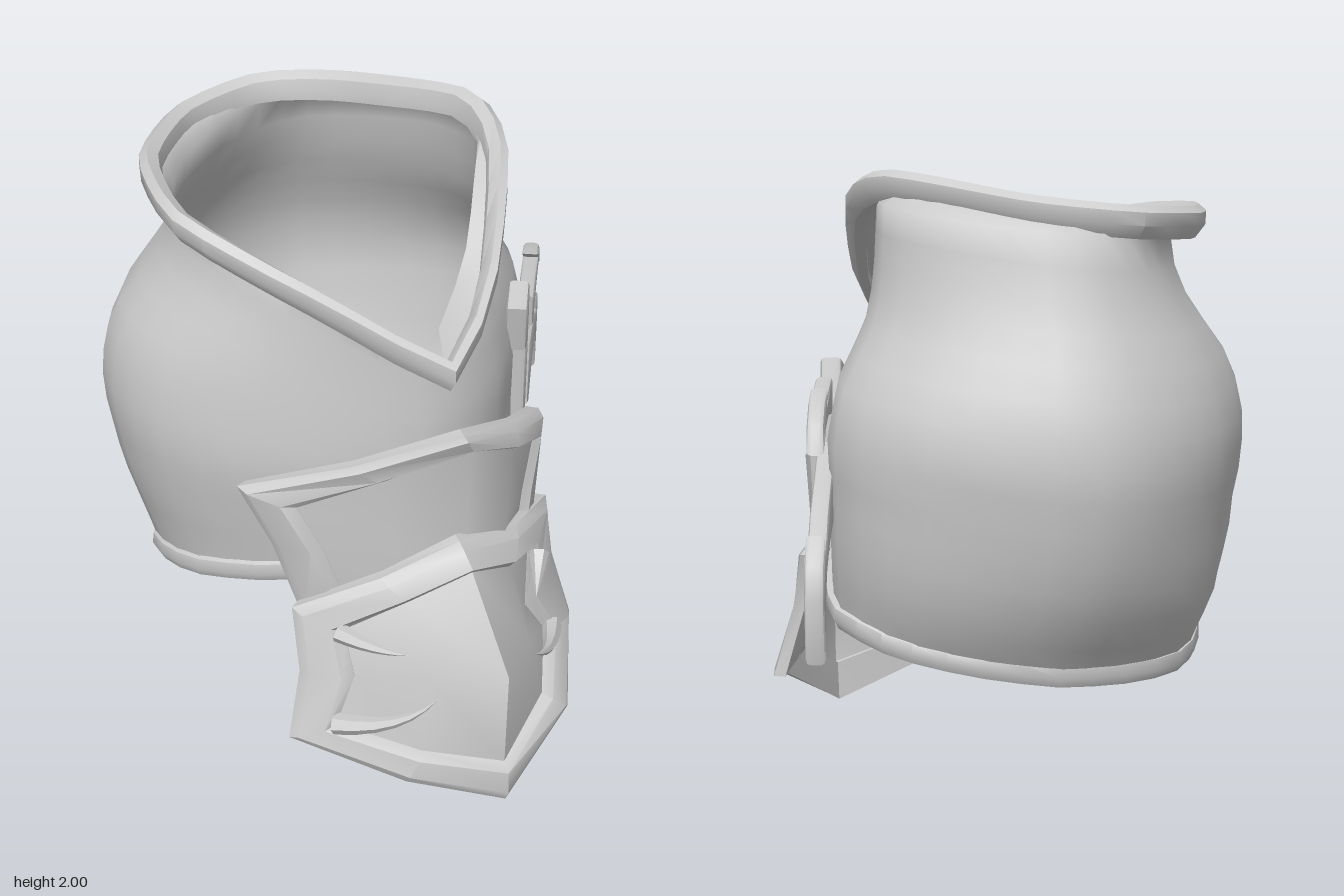
import * as THREE from 'three';
import { toCreasedNormals } from 'three/addons/utils/BufferGeometryUtils.js';

const material = new THREE.MeshStandardMaterial({ color: 0xcccccc, side: THREE.DoubleSide });
const V = (x, y, z) => new THREE.Vector3(x, y, z);
const CENTRE = V(-0.1, 0, -0.15);
const COLUMNS = 36;
const lerp = THREE.MathUtils.lerp;

function mesh(name, geometry, crease = 0.6) {
  const m = new THREE.Mesh(toCreasedNormals(geometry, crease), material);
  m.name = name;
  return m;
}

// Skin over rows of points; closed joins each row's end to its start, loop joins last row to first
function loft(rows, closed = true, loop = false) {
  const n = rows[0].length, index = [];
  const last = loop ? rows.length : rows.length - 1;
  for (let r = 0; r < last; r++) {
    for (let i = 0; i < (closed ? n : n - 1); i++) {
      const j = (i + 1) % n, s = (r + 1) % rows.length;
      const a = r * n + i, b = r * n + j, c = s * n + j, d = s * n + i;
      index.push(a, b, c, a, c, d);
    }
  }
  const g = new THREE.BufferGeometry().setFromPoints(rows.flat());
  g.setIndex(index);
  return g.toNonIndexed();
}

// Resample a closed outline at even angles around the body axis, starting at the front point
function polar(points) {
  const curve = new THREE.CatmullRomCurve3(points.map(p => V(...p)), true, 'catmullrom', 0.35);
  const dense = curve.getPoints(720);
  const start = Math.atan2(0.83, 0.2);
  const out = [];
  for (let i = 0; i < COLUMNS; i++) {
    const a = start + i / COLUMNS * Math.PI * 2;
    const dir = V(Math.cos(a), 0, Math.sin(a));
    let best = dense[0], score = -2;
    for (const p of dense) {
      const q = p.clone().sub(CENTRE).setY(0).normalize().dot(dir);
      if (q > score) { score = q; best = p; }
    }
    out.push(best.clone());
  }
  return out;
}

// Widest cross-section of the body
const girth = polar([
  [0.12, 0, 0.52], [-0.2, 0, 0.52], [-0.5, 0, 0.42], [-0.74, 0, 0.22], [-0.84, 0, -0.08],
  [-0.73, 0, -0.42], [-0.5, 0, -0.72], [-0.26, 0, -0.87], [-0.02, 0, -0.91], [0.25, 0, -0.79],
  [0.5, 0, -0.59], [0.62, 0, -0.31], [0.55, 0, -0.05], [0.46, 0, 0.15], [0.34, 0, 0.36]]);

// Slanted outline of the neck opening
const neck = polar([
  [0.1, 1.5, 0.7], [-0.25, 1.67, 0.51], [-0.45, 1.76, 0.38], [-0.64, 1.84, 0.18], [-0.67, 1.87, -0.2],
  [-0.5, 1.88, -0.55], [-0.21, 1.9, -0.71], [0.08, 1.93, -0.58], [0.4, 1.99, -0.17], [0.43, 1.92, 0.1],
  [0.31, 1.7, 0.43], [0.2, 1.56, 0.6]]);

// Height, left and right x, back and front z
const PROFILE = [
  [0.45, -0.66, 0.51, -0.61, 0.42], [0.52, -0.68, 0.53, -0.64, 0.43], [0.65, -0.72, 0.56, -0.75, 0.44],
  [0.85, -0.79, 0.6, -0.85, 0.47], [1.05, -0.83, 0.61, -0.9, 0.5], [1.2, -0.84, 0.62, -0.91, 0.49],
  [1.38, -0.8, 0.57, -0.86, 0.47], [1.5, -0.71, 0.48, -0.8, 0.46], [1.65, -0.61, 0.43, -0.73, 0.46],
  [1.95, -0.58, 0.4, -0.65, 0.46]];

function bodyPoint(column, y) {
  let k = 0;
  while (k < PROFILE.length - 2 && y > PROFILE[k + 1][0]) k++;
  const A = PROFILE[k], B = PROFILE[k + 1];
  const t = (y - A[0]) / (B[0] - A[0]);
  const e = A.map((v, i) => lerp(v, B[i], t));
  const g = girth[column];
  const p = V(lerp(e[1], e[2], (g.x + 0.84) / 1.46), y, lerp(e[3], e[4], (g.z + 0.91) / 1.43));
  // The lower part is squarer, with fuller corners
  const d = p.clone().sub(CENTRE).setY(0).normalize();
  const low = 1 - THREE.MathUtils.smoothstep(y, 0.5, 1);
  const along = ((d.x + d.z) / Math.SQRT2) ** 4;
  const across = Math.max(0, (d.x - d.z) / Math.SQRT2) ** 4;
  return p.addScaledVector(d, low * (0.09 * along + 0.04 * across));
}

// Move a point away from the body axis and up
function shift(p, out, up) {
  const d = p.clone().sub(CENTRE).setY(0).normalize();
  return p.clone().addScaledVector(d, out).setY(p.y + up);
}

function hem(i) {
  const p = bodyPoint(i, 0.55);
  return bodyPoint(i, 0.61 + 0.19 * p.z + 0.09 * p.x);
}

// Armour plate: a bent panel of rows of points, edged by a thick raised frame
function plate(name, inner, outer) {
  const group = new THREE.Group();
  group.name = name;
  const toRows = rows => rows.map(r => r.map(p => V(...p)));
  const border = r => [...r[0], ...r.slice(1, -1).map(q => q[q.length - 1]),
    ...[...r[r.length - 1]].reverse(), ...r.slice(1, -1).map(q => q[0]).reverse()];
  const rows = toRows(inner);
  const a = border(rows), b = border(toRows(outer));
  const push = (p, d) => p.clone().addScaledVector(V(p.x - 0.1, 0, p.z).normalize(), d);
  const section = a.map((p, i) => [push(b[i], -0.03), push(b[i], 0.01),
    push(b[i].clone().lerp(p, 0.25), 0.03), push(b[i].clone().lerp(p, 0.8), 0.03),
    push(p, 0.002), push(p, -0.015)]);
  group.add(mesh(name + 'Panel', loft(rows, false), 0.7));
  group.add(mesh(name + 'Frame', loft(section, true, true), 0.6));
  return group;
}

// Tapering curved thorn
function thorn(from, mid, to, radius) {
  const curve = new THREE.QuadraticBezierCurve3(V(...from), V(...mid), V(...to));
  const rows = [];
  for (let i = 0; i <= 6; i++) {
    const t = i / 6, p = curve.getPoint(t), d = curve.getTangent(t);
    const side = V(0, 1, 0).cross(d).normalize(), up = d.clone().cross(side);
    rows.push(Array.from({ length: 6 }, (_, k) => {
      const w = k / 6 * Math.PI * 2, r = radius * (1 - t) + 0.001;
      return p.clone().addScaledVector(side, Math.cos(w) * r).addScaledVector(up, Math.sin(w) * r);
    }));
  }
  return mesh('thorn', loft(rows), 0.9);
}

// Flat bevelled piece cut from an outline
function cutout(name, outline, depth, z) {
  const shape = new THREE.Shape(outline.map(p => new THREE.Vector2(...p)));
  const g = new THREE.ExtrudeGeometry(shape, {
    depth, bevelEnabled: true, bevelThickness: 0.014, bevelSize: 0.012, bevelOffset: -0.012, bevelSegments: 2 });
  g.translate(0, 0, z);
  return mesh(name, g, 0.7);
}

export function createModel() {
  const model = new THREE.Group();
  model.name = 'shoulderArmour';

  // Rounded shell, open at both ends
  const rows = [];
  const STEPS = 14;
  for (let s = 0; s <= STEPS; s++) {
    rows.push(girth.map((_, i) => bodyPoint(i, lerp(hem(i).y, neck[i].y - 0.09, s / STEPS))));
  }
  rows.push(neck.map(p => shift(p, -0.06, -0.05)));
  model.add(mesh('shell', loft(rows), 1.2));

  // Thick lip around the neck opening
  const lip = [[-0.07, -0.08], [-0.03, -0.09], [0, -0.05], [0, -0.01], [-0.025, 0.01], [-0.06, -0.01], [-0.07, -0.05]];
  model.add(mesh('collar', loft(lip.map(([o, u]) => neck.map(p => shift(p, o, u))), true, true), 0.7));

  // Rolled hem around the lower opening
  const roll = [[-0.04, 0], [-0.02, -0.03], [0.01, -0.03], [0.025, 0], [0.02, 0.035], [-0.01, 0.05]];
  model.add(mesh('hem', loft(roll.map(([o, u]) => girth.map((_, i) => shift(hem(i), o, u))), true, true), 0.9));

  // Front plates
  model.add(plate('upperPlate', [
    [[-0.34, 0.98, 0.53], [-0.08, 1.08, 0.6], [0.18, 1.17, 0.63], [0.34, 1.1, 0.54], [0.46, 1.01, 0.37]],
    [[-0.26, 0.82, 0.55], [-0.04, 0.85, 0.6], [0.18, 0.88, 0.61], [0.33, 0.86, 0.54], [0.43, 0.83, 0.38]],
    [[-0.2, 0.65, 0.55], [0, 0.64, 0.6], [0.18, 0.64, 0.61], [0.32, 0.65, 0.54], [0.41, 0.66, 0.39]],
  ], [
    [[-0.5, 1.03, 0.44], [-0.18, 1.15, 0.6], [0.14, 1.255, 0.67], [0.35, 1.17, 0.5], [0.51, 1.05, 0.24]],
    [[-0.4, 0.82, 0.47], [], [], [], [0.5, 0.85, 0.25]],
    [[-0.33, 0.6, 0.5], [-0.05, 0.56, 0.58], [0.18, 0.55, 0.59], [0.35, 0.57, 0.5], [0.47, 0.6, 0.3]],
  ]));
  const lower = plate('lowerPlate', [
    [[-0.22, 0.58, 0.64], [-0.02, 0.69, 0.69], [0.17, 0.78, 0.71], [0.32, 0.71, 0.61], [0.43, 0.65, 0.46]],
    [[-0.2, 0.44, 0.7], [0.02, 0.48, 0.83], [0.24, 0.5, 0.9], [0.37, 0.48, 0.7], [0.42, 0.46, 0.49]],
    [[-0.26, 0.27, 0.71], [-0.02, 0.22, 0.84], [0.25, 0.14, 0.86], [0.42, 0.26, 0.7], [0.5, 0.33, 0.46]],
  ], [
    [[-0.36, 0.63, 0.55], [-0.1, 0.76, 0.64], [0.14, 0.865, 0.65], [0.37, 0.785, 0.49], [0.55, 0.71, 0.24]],
    [[-0.35, 0.42, 0.6], [], [], [], [0.56, 0.52, 0.3]],
    [[-0.4, 0.21, 0.66], [-0.07, 0.12, 0.85], [0.25, 0, 0.87], [0.51, 0.18, 0.68], [0.63, 0.28, 0.31]],
  ]);
  lower.add(
    thorn([-0.24, 0.58, 0.65], [-0.14, 0.55, 0.74], [-0.05, 0.55, 0.78], 0.032),
    thorn([-0.27, 0.28, 0.72], [-0.08, 0.3, 0.84], [0.03, 0.42, 0.85], 0.035),
    thorn([0.47, 0.64, 0.46], [0.45, 0.59, 0.52], [0.42, 0.57, 0.6], 0.032),
    thorn([0.53, 0.33, 0.45], [0.48, 0.34, 0.62], [0.38, 0.45, 0.74], 0.035));
  model.add(lower);

  // Clasp with two barbed hooks on the left flank, sweeping backwards
  const clasp = new THREE.Group();
  clasp.name = 'clasp';
  clasp.position.x = 0.535;
  clasp.rotation.y = 1.22;
  clasp.add(
    cutout('claspHead', [[-0.13, 1.2], [0.02, 1.23], [-0.03, 1.4], [-0.17, 1.37]], 0.04, -0.035),
    cutout('claspBar', [[-0.08, 0.82], [0.05, 0.8], [0.02, 1.23], [-0.12, 1.2]], 0.03, -0.025),
    cutout('upperHook', [[0, 1.22], [0.15, 1.25], [0.3, 1.25], [0.43, 1.24], [0.53, 1.19], [0.49, 1.28],
      [0.4, 1.33], [0.27, 1.35], [0.34, 1.305], [0.15, 1.33], [-0.02, 1.34]], 0.025, -0.005),
    cutout('lowerHook', [[0.02, 0.91], [0.28, 0.92], [0.5, 0.9], [0.65, 0.86], [0.74, 0.79], [0.79, 0.63],
      [0.83, 0.83], [0.79, 0.92], [0.7, 0.99], [0.72, 0.91], [0.65, 0.93], [0.5, 1.01], [0.28, 1.07], [0.02, 1.14]], 0.03, -0.015));
  model.add(clasp);
  return model;
}
